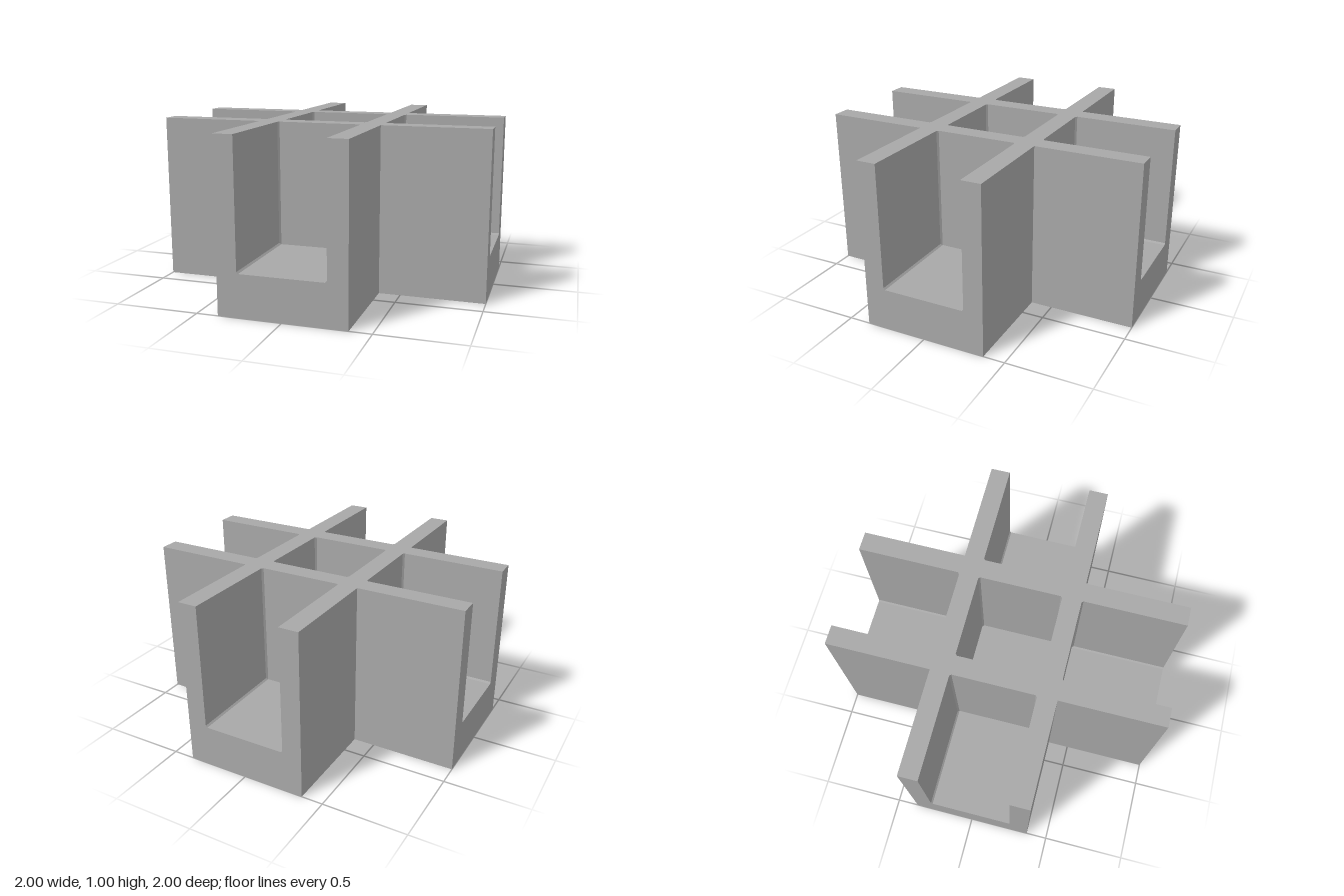
import * as THREE from 'three';

const OUT = 0.372;   // outer face of the walls
const INN = 0.255;   // inner face of the walls
const FLOOR = 0.25;  // pocket floor height
const TOP = 1;
const R = 0.01;      // small fillet in the pocket corners

// Repeat one arm's outline four times around the centre.
function fourfold(points) {
  const all = [];
  for (let i = 0; i < 4; i++) {
    for (const [x, y] of points) {
      all.push(new THREE.Vector2(x, y).rotateAround(new THREE.Vector2(), i * Math.PI / 2));
    }
  }
  return all;
}

// Extrude a plan shape upward from y0 to y1.
function extrudeUp(shape, y0, y1) {
  const g = new THREE.ExtrudeGeometry(shape, { depth: y1 - y0, bevelEnabled: false });
  return g.rotateX(-Math.PI / 2).translate(0, y0, 0);
}

export function createModel() {
  const model = new THREE.Group();
  model.name = 'crossOrganizer';
  const grey = new THREE.MeshStandardMaterial({ color: 0xa8a8a8 });
  grey.name = 'grey';

  const add = (name, geometry) => {
    const mesh = new THREE.Mesh(geometry, grey);
    mesh.name = name;
    model.add(mesh);
    return mesh;
  };

  // Solid cross-shaped base
  const cross = new THREE.Shape(fourfold([[OUT, -OUT], [1, -OUT], [1, OUT]]));
  add('base', extrudeUp(cross, 0, FLOOR));

  // Crossing walls with four open slots and a closed centre pocket
  const walls = new THREE.Shape(fourfold([
    [OUT, -OUT], [1, -OUT], [1, -INN], [OUT + R, -INN], [OUT, -INN + R],
    [OUT, INN - R], [OUT + R, INN], [1, INN], [1, OUT],
  ]));
  walls.holes.push(new THREE.Path(fourfold([[INN, -INN + R], [INN, INN - R], [INN - R, INN]])));
  add('walls', extrudeUp(walls, FLOOR, TOP));

  // Fillets where each slot's floor meets its side walls
  for (let i = 0; i < 4; i++) {
    for (const s of [-1, 1]) {
      const profile = new THREE.Shape([
        new THREE.Vector2(s * INN, FLOOR),
        new THREE.Vector2(s * INN, FLOOR + R),
        new THREE.Vector2(s * (INN - R), FLOOR),
      ]);
      const g = new THREE.ExtrudeGeometry(profile, { depth: 1 - OUT, bevelEnabled: false });
      add('slotFillet', g.translate(0, 0, OUT)).rotation.y = i * Math.PI / 2;
    }
  }
  return model;
}
